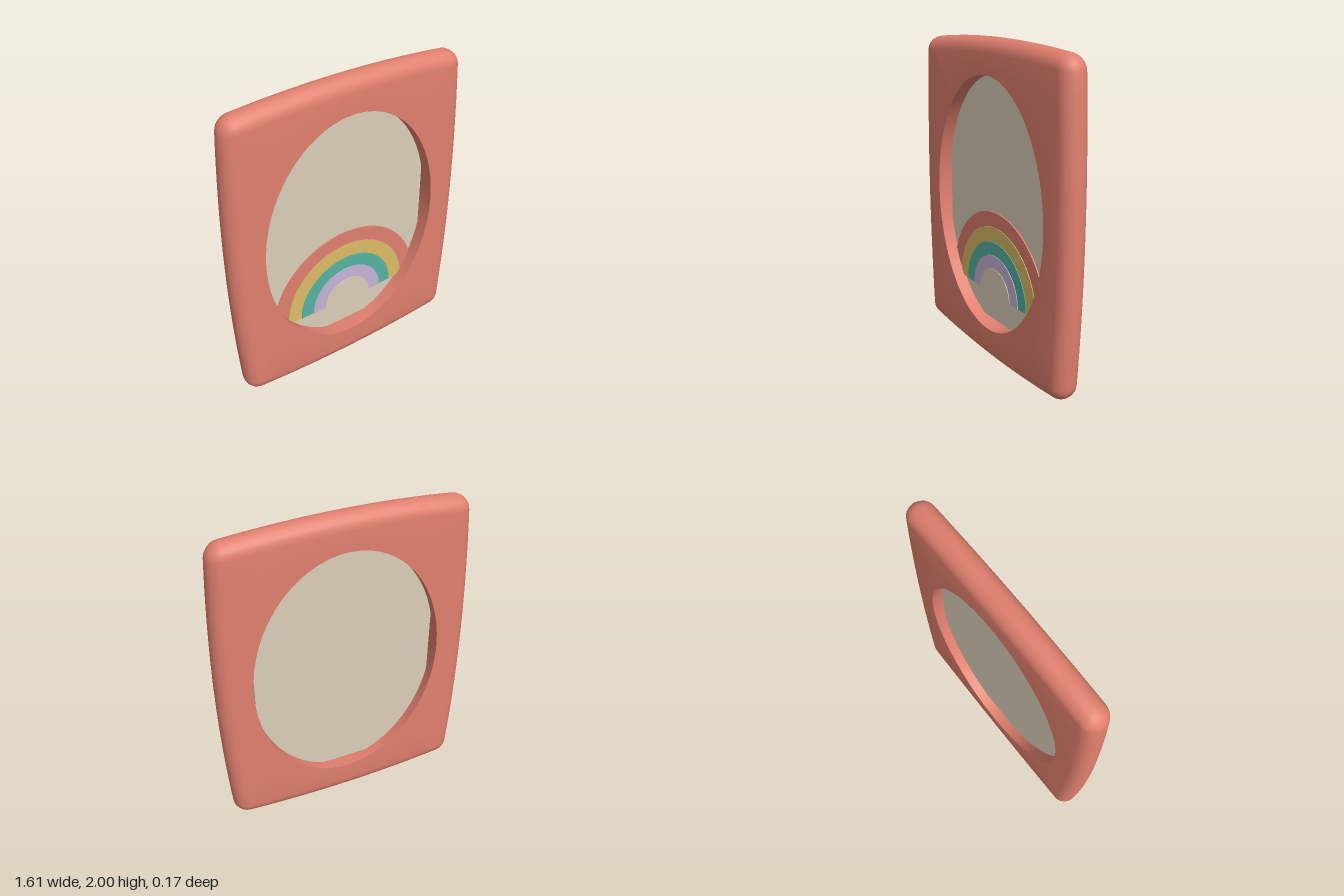
import * as THREE from 'three';
import { toCreasedNormals } from 'three/addons/utils/BufferGeometryUtils.js';

const paint = (name, color) => {
  const m = new THREE.MeshStandardMaterial({ color });
  m.name = name;
  return m;
};

// Frame: rounded, slightly bulging slab with an elliptical opening
function frameGeometry() {
  const r = 0.083, a = 0.682, b = 0.875, side = 16, corner = 6, arc = 10;
  // Centre line of the rounded rim: core point plus outward direction
  const rim = [];
  const add = (x, y, ang) => rim.push({ x, y, nx: Math.cos(ang), ny: Math.sin(ang) });
  const corners = [[a, -b], [a, b], [-a, b], [-a, -b]];
  for (let k = 0; k < 4; k++) {
    const [x0, y0] = corners[k], [x1, y1] = corners[(k + 1) % 4];
    const ang = k * Math.PI / 2;
    for (let i = 0; i < side; i++) {
      const t = i / side;
      add(x0 + (x1 - x0) * t, y0 + (y1 - y0) * t, ang);
    }
    for (let i = 0; i < corner; i++) add(x1, y1, ang + (i / corner) * Math.PI / 2);
  }
  const pos = [], index = [], rows = arc + 3;
  for (const p of rim) {
    const t = Math.atan2((p.y + p.ny * r) / (b + r), (p.x + p.nx * r) / (a + r));
    const hx = 0.597 * Math.cos(t), hy = 0.79 * Math.sin(t);
    pos.push(hx, hy, -r, hx, hy, r);
    for (let j = 0; j <= arc; j++) {
      const f = Math.PI / 2 - (j / arc) * Math.PI;
      const x = p.x + p.nx * r * Math.cos(f), y = p.y + p.ny * r * Math.cos(f);
      pos.push(
        x * (1 + 0.052 * (1 - (y / 0.958) ** 2)),
        y * (1 + 0.044 * (1 - (x / 0.765) ** 2)),
        r * Math.sin(f));
    }
  }
  const n = rim.length;
  for (let i = 0; i < n; i++) for (let j = 0; j < rows; j++) {
    const i2 = (i + 1) % n, j2 = (j + 1) % rows;
    const A = i * rows + j, B = i * rows + j2, C = i2 * rows + j2, D = i2 * rows + j;
    index.push(A, B, C, A, C, D);
  }
  const g = new THREE.BufferGeometry();
  g.setAttribute('position', new THREE.Float32BufferAttribute(pos, 3));
  g.setIndex(index);
  return toCreasedNormals(g, 0.7);
}

export function createModel() {
  const coral = paint('coral', 0xe07f6e);
  const cream = paint('cream', 0xdccfb9);
  const gold = paint('gold', 0xdcbc66);
  const teal = paint('teal', 0x55b3a3);
  const lavender = paint('lavender', 0xc6b5d8);

  const model = new THREE.Group();
  const addPart = (name, geometry, material, y, z) => {
    const mesh = new THREE.Mesh(geometry, material);
    mesh.name = name;
    mesh.position.set(0, y, z);
    model.add(mesh);
  };

  addPart('frame', frameGeometry(), coral, 1, 0);
  addPart('backPanel', new THREE.BoxGeometry(1.15, 1.54, 0.02), cream, 1.005, -0.01);

  // Rainbow: stacked half discs, each smaller one standing slightly prouder
  const bands = [
    ['outerBand', 0.53, coral], ['goldBand', 0.435, gold], ['tealBand', 0.34, teal],
    ['lavenderBand', 0.255, lavender], ['rainbowCentre', 0.17, cream],
  ];
  bands.forEach(([name, radius, material], i) => {
    const half = new THREE.Shape();
    half.absarc(0, 0, radius, 0, Math.PI, false);
    half.closePath();
    const disc = new THREE.ExtrudeGeometry(half, {
      depth: 0.008 + i * 0.004, bevelEnabled: false, curveSegments: 32,
    });
    addPart(name, toCreasedNormals(disc, 0.7), material, 0.42, 0);
  });
  return model;
}
